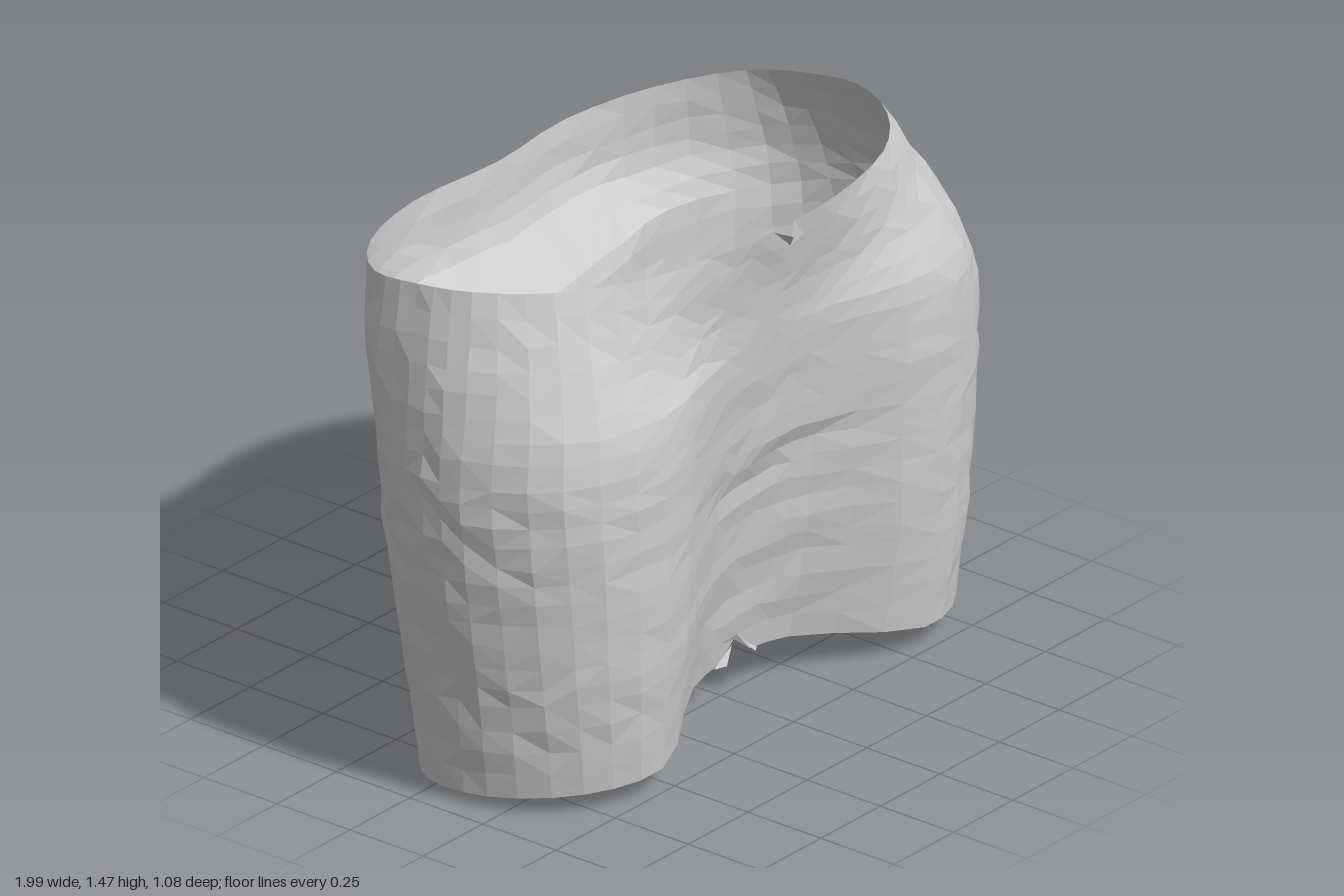
import * as THREE from 'three';

// Half cross-sections [x, z] from front centre round the left side to back centre;
// v is the height fraction between the lower hem and the waist rim.
const sections = [
  { v: 0, p: [[0, .295], [.2, .32], [.55, .5], [.78, .42], [.92, .2], [.92, 0], [.78, -.14], [.53, -.225], [.27, -.13], [0, -.07]] },
  { v: .2, p: [[0, .335], [.2, .37], [.57, .53], [.82, .43], [.95, .2], [.945, 0], [.8, -.18], [.54, -.275], [.27, -.185], [0, -.14]] },
  { v: .5, p: [[0, .4], [.2, .42], [.57, .54], [.86, .43], [.99, .18], [.97, -.02], [.82, -.24], [.54, -.36], [.27, -.29], [0, -.235]] },
  { v: .66, p: [[0, .43], [.22, .45], [.57, .535], [.87, .42], [.985, .16], [.965, -.04], [.83, -.25], [.55, -.385], [.27, -.33], [0, -.275]] },
  { v: .75, p: [[0, .44], [.22, .455], [.56, .515], [.84, .4], [.957, .15], [.945, -.05], [.835, -.26], [.56, -.39], [.28, -.36], [0, -.305]] },
  { v: .83, p: [[0, .45], [.24, .45], [.54, .46], [.8, .36], [.92, .13], [.92, -.07], [.835, -.275], [.59, -.455], [.31, -.505], [0, -.465]] },
  { v: 1, p: [[0, .49], [.2, .48], [.5, .4], [.7, .25], [.81, .06], [.82, -.12], [.78, -.3], [.6, -.46], [.32, -.54], [0, -.51]] },
];
const hemY = [.13, .12, .07, .055, .035, .025, .01, 0, .04, .065];
const rowsPerBand = [4, 7, 4, 2, 2, 4];
const COLS = 54;

// repeatable variation for the soft, uneven cloth facets
const noise = (i, j) => {
  const s = Math.sin(i * 12.99 + j * 78.23) * 43758.55;
  return s - Math.floor(s) - .5;
};

const rimY = z => 1.435 + z * (z > 0 ? .075 : .18);

// full closed ring from a half section
function ring({ v, p }) {
  const half = p.map(([x, z], k) => {
    const top = rimY(sections[sections.length - 1].p[k][1]);
    return new THREE.Vector3(x, THREE.MathUtils.lerp(hemY[k], top, v), z);
  });
  const mirrored = half.slice(1, -1).reverse().map(q => new THREE.Vector3(-q.x, q.y, q.z));
  return new THREE.CatmullRomCurve3([...half, ...mirrored], true);
}

// faint wrinkles across the front and back, plus one slanted front pleat
function wrinkle(q) {
  const fade = Math.exp(-((q.x / .4) ** 2)) * THREE.MathUtils.smoothstep(q.y, .15, .35)
    * (1 - THREE.MathUtils.smoothstep(q.y, .85, 1));
  q.z += .004 * fade * Math.sin(q.y * 31 - q.x * 4);
  if (q.z > 0) {
    const d = (q.y - .74 - q.x * .13) / .06;
    q.z += .026 * Math.exp(-(((q.x - .08) / .27) ** 2)) * d * Math.exp(-d * d);
  }
}

function clothGeometry() {
  const rings = sections.map(ring);
  const last = rowsPerBand.reduce((a, b) => a + b);
  const pos = [], idx = [];
  for (let i = 0; i < COLS; i++) {
    const column = new THREE.CatmullRomCurve3(rings.map(r => r.getPoint(i / COLS)));
    let j = 0;
    rowsPerBand.forEach((n, band) => {
      const end = band === rowsPerBand.length - 1 ? n : n - 1;
      for (let k = 0; k <= end; k++, j++) {
        const q = column.getPoint((band + k / n) / rowsPerBand.length);
        if (j > 0 && j < last) {
          wrinkle(q);
          const out = 1 + .01 * noise(i, j);
          q.x *= out;
          q.z *= out;
          q.y += .014 * noise(i + 7, j + 3);
        }
        // centre notches in the hem and rim; the rim notch is steep on its left
        if (i === 0 && j === 0) q.y += .05;
        if (i === 0 && j === last) q.y -= .07;
        if (i === 1 && j === last) q.x = .012;
        pos.push(q.x, q.y, q.z);
      }
    });
  }
  const stride = last + 1;
  for (let i = 0; i < COLS; i++) {
    for (let j = 0; j < last; j++) {
      const a = i * stride + j, b = ((i + 1) % COLS) * stride + j;
      if (noise(i, j + 50) > 0) idx.push(a, b, b + 1, a, b + 1, a + 1);
      else idx.push(a, b, a + 1, b, b + 1, a + 1);
    }
  }
  const g = new THREE.BufferGeometry();
  g.setAttribute('position', new THREE.Float32BufferAttribute(pos, 3));
  g.setIndex(idx);
  g.computeVertexNormals();
  return g;
}

function triangle(...corners) {
  const g = new THREE.BufferGeometry().setFromPoints(corners.map(c => new THREE.Vector3(...c)));
  g.computeVertexNormals();
  return g;
}

export function createModel() {
  const model = new THREE.Group();
  model.name = 'skirt';
  const material = new THREE.MeshStandardMaterial({ color: 0xcccccc, flatShading: true, side: THREE.DoubleSide });
  const add = (name, geometry) => {
    const mesh = new THREE.Mesh(geometry, material);
    mesh.name = name;
    model.add(mesh);
  };

  add('skirtCloth', clothGeometry());

  // small folded cloth tips beside the notches
  add('waistNotchFlap', triangle([-.07, 1.467, .487], [0, 1.402, .488], [-.03, 1.45, .525]));
  for (const s of [1, -1]) {
    add(s > 0 ? 'leftHemFlap' : 'rightHemFlap',
      triangle([s * .09, .125, .3], [s * .02, .175, .305], [s * .06, .13, .32]));
  }
  return model;
}
